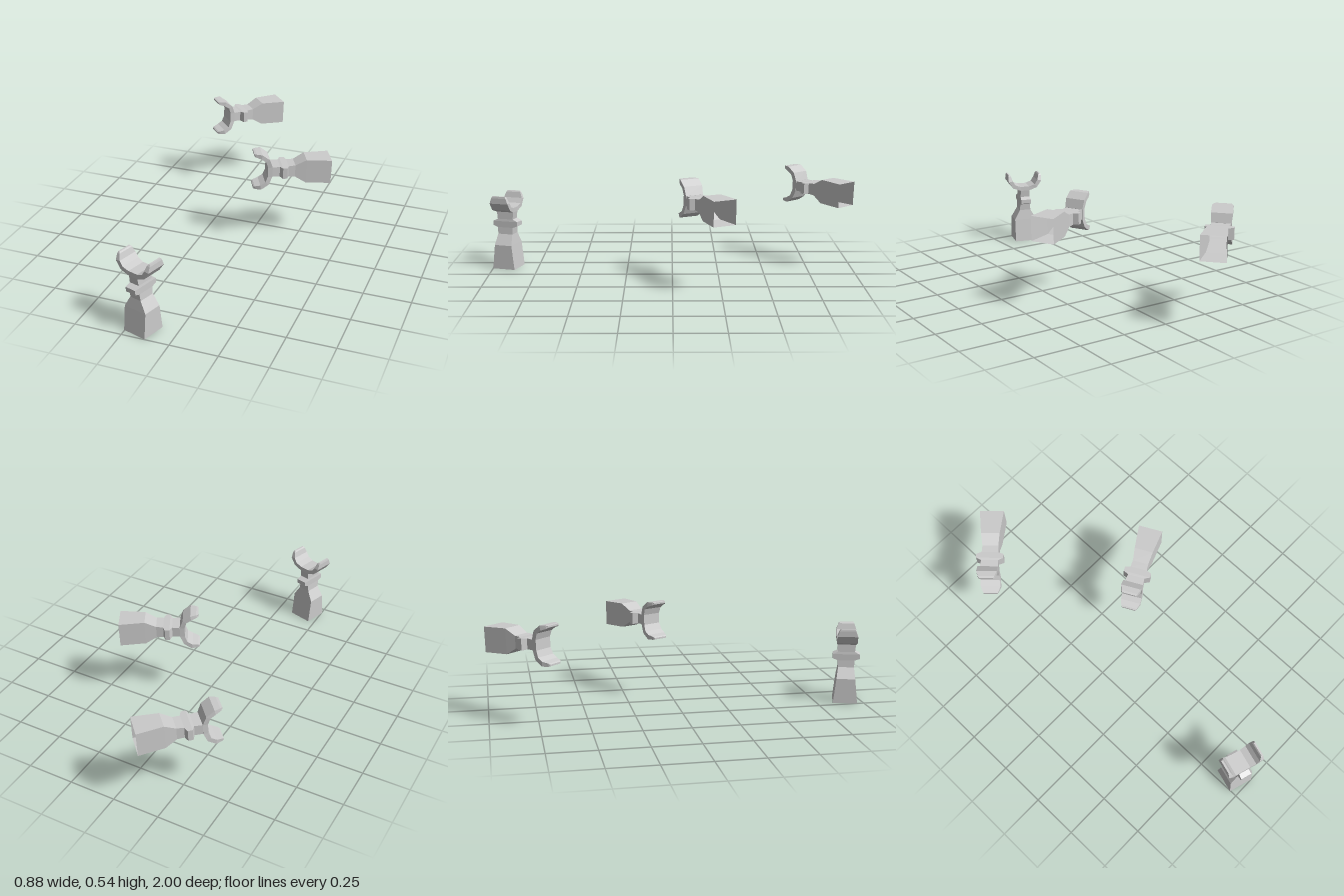
import * as THREE from 'three';

const material = new THREE.MeshStandardMaterial({ color: 0xcccccc, flatShading: true, side: THREE.DoubleSide });

// Skin a list of four-cornered rings; caps are optional at each end
function loft(rings, capStart, capEnd) {
  const index = [];
  for (let r = 0; r < rings.length - 1; r++) {
    for (let i = 0; i < 4; i++) {
      const a = r * 4 + i, b = r * 4 + (i + 1) % 4;
      index.push(a, b, b + 4, a, b + 4, a + 4);
    }
  }
  const e = (rings.length - 1) * 4;
  if (capStart) index.push(0, 2, 1, 0, 3, 2);
  if (capEnd) index.push(e, e + 1, e + 2, e, e + 2, e + 3);
  const geometry = new THREE.BufferGeometry();
  geometry.setAttribute('position', new THREE.Float32BufferAttribute(rings.flat(2), 3));
  geometry.setIndex(index);
  const flat = geometry.toNonIndexed();
  flat.computeVertexNormals();
  return flat;
}

// Hollow, open-bottomed post: height, width, depth
const postSections = [
  [0, 0.132, 0.13],
  [0.135, 0.132, 0.1],
  [0.193, 0.066, 0.085],
  [0.23, 0.06, 0.09],
  [0.24, 0.06, 0.145],
  [0.264, 0.06, 0.145],
  [0.277, 0.056, 0.09],
  [0.322, 0.052, 0.1],
];
const postGeometry = loft(postSections.map(([y, w, d]) => [
  [-w / 2, y, d / 2], [w / 2, y, d / 2], [w / 2, y, -d / 2], [-w / 2, y, -d / 2],
]), false, true);

// Fork half profile from centre to tip: outer x, outer y, inner x, inner y, depth
const half = [
  [0.027, 0.317, 0.027, 0.342, 0.102],
  [0.073, 0.335, 0.06, 0.354, 0.108],
  [0.102, 0.376, 0.077, 0.38, 0.108],
  [0.102, 0.406, 0.086, 0.41, 0.086],
  [0.1, 0.417, 0.091, 0.417, 0.074],
];
const mirrored = half.map(([ox, oy, ix, iy, d]) => [-ox, oy, -ix, iy, d]).reverse();
const forkGeometry = loft([...mirrored, ...half].map(([ox, oy, ix, iy, d]) => [
  [ox, oy, d / 2], [ox, oy, -d / 2], [ix, iy, -d / 2], [ix, iy, d / 2],
]), true, true);

function makeStand(name) {
  const stand = new THREE.Group();
  stand.name = name;
  for (const [part, geometry] of [['post', postGeometry], ['fork', forkGeometry]]) {
    const mesh = new THREE.Mesh(geometry, material);
    mesh.name = part;
    stand.add(mesh);
  }
  return stand;
}

// Lay a stand down with its fork opening along the given direction
function layDown(stand, position, direction) {
  const along = new THREE.Vector3(...direction).normalize();
  const side = new THREE.Vector3(0, 1, 0).cross(along).normalize();
  const across = along.clone().cross(side);
  stand.quaternion.setFromRotationMatrix(new THREE.Matrix4().makeBasis(across, along, side));
  stand.position.set(...position);
  return stand;
}

export function createModel() {
  const model = new THREE.Group();
  model.name = 'forkedStands';

  const upright = makeStand('uprightStand');
  upright.position.set(-0.171, 0, 0.918);
  upright.rotation.y = -0.3;

  model.add(
    upright,
    layDown(makeStand('middleStand'), [0.405, 0.425, -0.262], [-0.887, 0.036, 0.462]),
    layDown(makeStand('rearStand'), [-0.111, 0.419, -0.955], [-0.73, 0.042, 0.683]),
  );
  return model;
}
